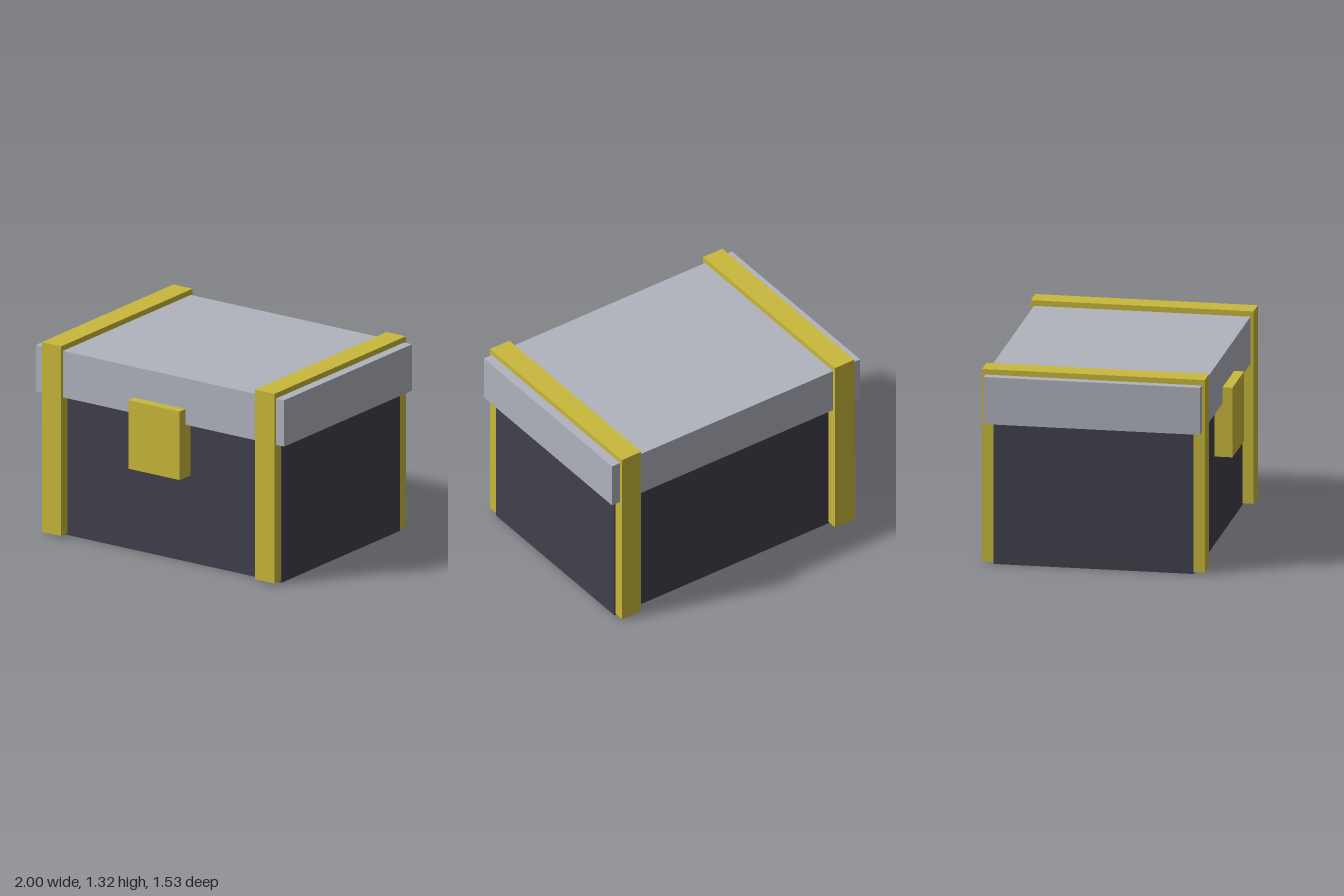
import * as THREE from 'three';

export function createModel() {
  const chest = new THREE.Group();
  chest.name = 'chest';

  const mat = (name, color) => {
    const m = new THREE.MeshStandardMaterial({ color });
    m.name = name;
    return m;
  };
  const dark = mat('dark slate', 0x41404c);
  const grey = mat('light grey', 0xb0b3bd);
  const gold = mat('gold', 0xc9b83b);

  const add = (name, geometry, material) => {
    const mesh = new THREE.Mesh(geometry, material);
    mesh.name = name;
    chest.add(mesh);
    return mesh;
  };
  // Box given by its lower and upper corners
  const box = (name, material, [x0, y0, z0], [x1, y1, z1]) =>
    add(name, new THREE.BoxGeometry(x1 - x0, y1 - y0, z1 - z0), material)
      .position.set((x0 + x1) / 2, (y0 + y1) / 2, (z0 + z1) / 2);

  box('body', dark, [-0.94, 0, -0.69], [0.94, 0.97, 0.645]);
  box('lid', grey, [-1, 0.965, -0.745], [1, 1.285, 0.7]);
  box('latch', gold, [-0.207, 0.6, 0.64], [0.205, 1.073, 0.766]);

  // Straps: an upside-down U over the lid and down the front and back.
  // The shape's x axis becomes -z when the extrusion is turned towards +x.
  const profile = new THREE.Shape([
    [-0.72, 0.013], [-0.64, 0.013], [-0.64, 1.24], [0.685, 1.24],
    [0.685, 0.013], [0.766, 0.013], [0.766, 1.322], [-0.72, 1.322],
  ].map(([x, y]) => new THREE.Vector2(x, y)));
  const strap = new THREE.ExtrudeGeometry(profile, { depth: 0.155, bevelEnabled: false });
  strap.rotateY(Math.PI / 2);
  add('leftStrap', strap, gold).position.x = 0.78;
  add('rightStrap', strap, gold).position.x = -0.938;

  return chest;
}
